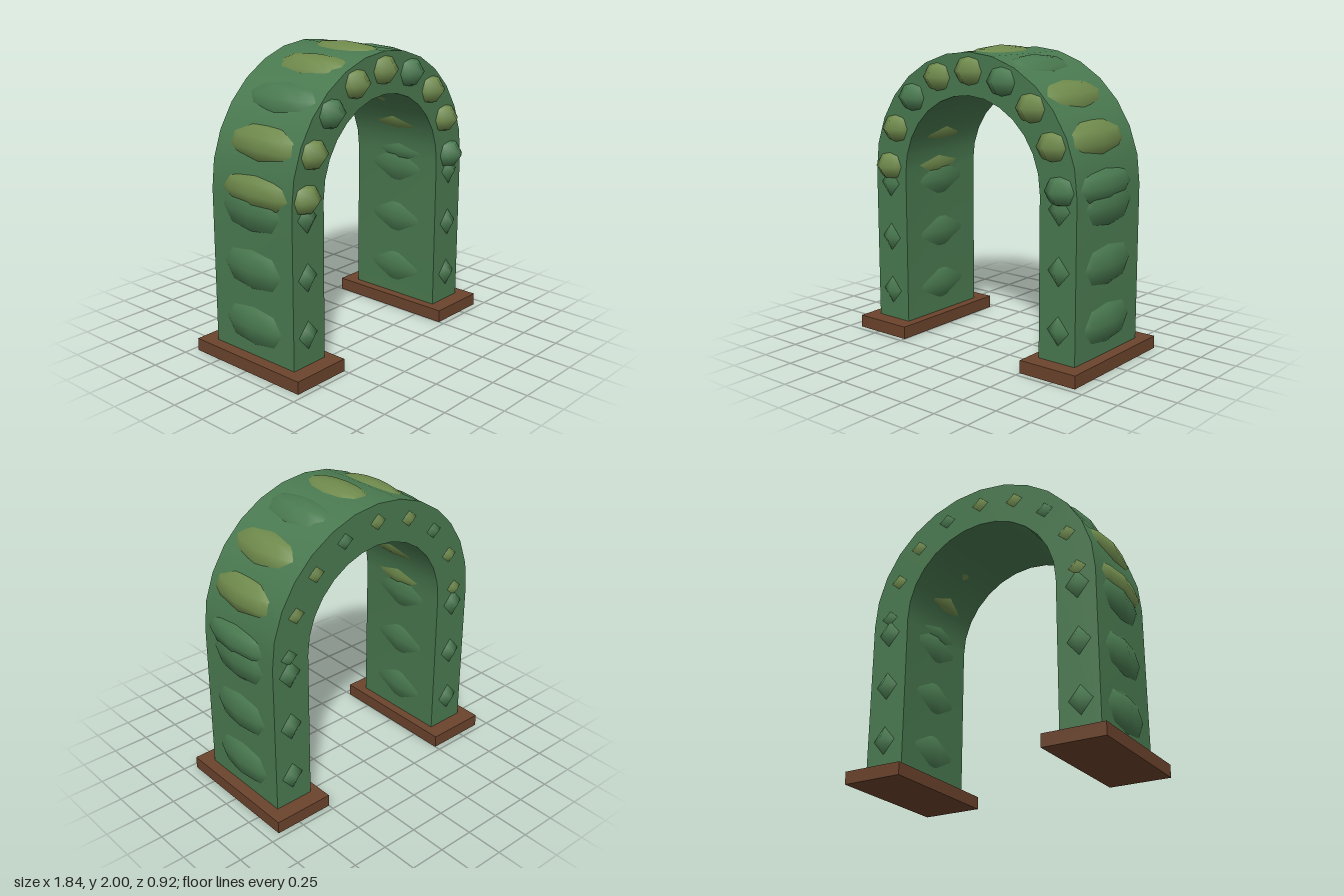
import * as THREE from 'three';
import { toCreasedNormals } from 'three/addons/utils/BufferGeometryUtils.js';

const material = (color) => new THREE.MeshStandardMaterial({ color });

export function createModel() {
  const group = new THREE.Group();
  const green = material(0x4a7a50);
  const olive = material(0x6f8a4c);
  const brown = material(0x6b432c);

  const add = (name, geometry, mat, x = 0, y = 0, z = 0) => {
    const mesh = new THREE.Mesh(geometry, mat);
    mesh.name = name;
    mesh.position.set(x, y, z);
    group.add(mesh);
    return mesh;
  };

  // Hedge arch: straight legs joined by a half ring
  const springY = 1.13, outer = 0.84, inner = 0.565, depth = 0.7, segments = 14;
  const points = [new THREE.Vector2(outer, 0.02)];
  for (let i = 0; i <= segments; i++) {
    const a = (i / segments) * Math.PI;
    points.push(new THREE.Vector2(outer * Math.cos(a), springY + outer * Math.sin(a)));
  }
  points.push(new THREE.Vector2(-outer, 0.02), new THREE.Vector2(-inner, 0.02));
  for (let i = segments; i >= 0; i--) {
    const a = (i / segments) * Math.PI;
    points.push(new THREE.Vector2(inner * Math.cos(a), springY + inner * Math.sin(a)));
  }
  points.push(new THREE.Vector2(inner, 0.02));
  const archGeometry = new THREE.ExtrudeGeometry(new THREE.Shape(points), { depth, bevelEnabled: false });
  archGeometry.translate(0, 0, -depth / 2);
  add('hedgeArch', toCreasedNormals(archGeometry, 0.5), green);

  // Long leaf clumps that poke through every side of the hedge
  const clump = new THREE.SphereGeometry(1, 12, 6);

  // Clumps up each leg, with a plinth below
  for (const side of [-1, 1]) {
    const label = side > 0 ? 'left' : 'right';
    add(label + 'Plinth', new THREE.BoxGeometry(0.42, 0.085, 0.92), brown, side * 0.71, 0.0425, 0);
    for (const y of [0.29, 0.67, 1.05]) {
      add(label + 'LegClump', clump, green, side * 0.711, y, 0).scale.set(0.174, 0.205, 0.4);
    }
  }

  // Clumps around the curve, from the model's left to its right
  const colors = [green, olive, olive, green, olive, olive, green, olive, olive];
  colors.forEach((mat, i) => {
    const a = THREE.MathUtils.degToRad(3 + i * 21.75);
    add('archClump', clump, mat, 0.715 * Math.cos(a), springY + 0.72 * Math.sin(a), 0.03)
      .scale.set(0.174, 0.15, 0.42);
  });

  return group;
}
